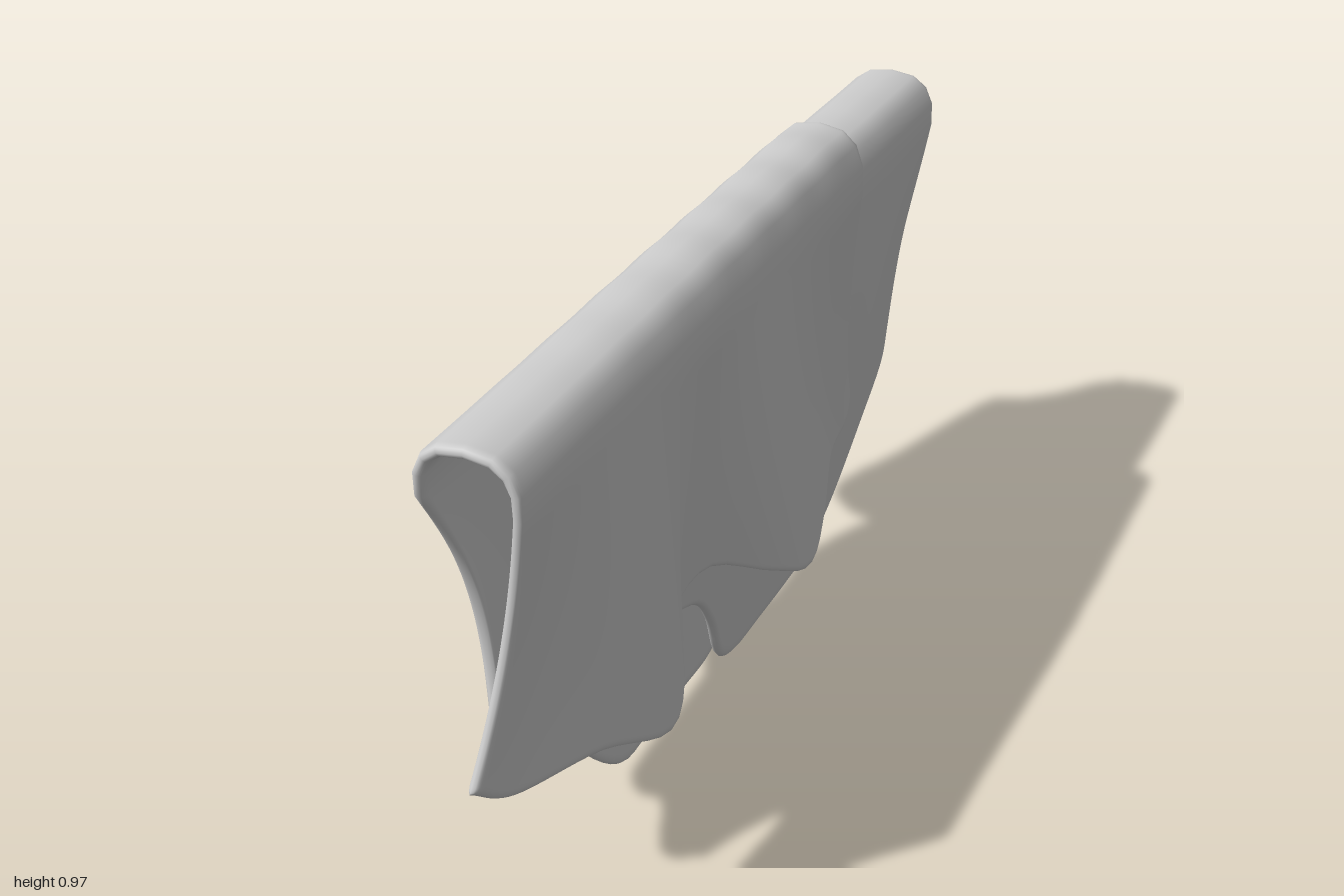
import * as THREE from 'three';
import { mergeVertices } from 'three/addons/utils/BufferGeometryUtils.js';

const lerp = THREE.MathUtils.lerp;
const curve = (pts) => new THREE.CatmullRomCurve3(pts.map((p) => new THREE.Vector3(...p)), false, 'catmullrom', 0.5);

// Hems as x, y, z: the wavy flap that hangs outside, and the long flap tucked inside
const outerHem = curve([
  [0.04, 0.42, 1.0], [0.06, 0.36, 0.91], [0.11, 0.325, 0.72], [0.155, 0.265, 0.56],
  [0.125, 0.305, 0.45], [0.07, 0.36, 0.37], [0.065, 0.355, 0.2], [0.135, 0.28, 0.06],
  [0.155, 0.226, -0.06], [0.125, 0.25, -0.2], [0.075, 0.29, -0.36], [0.055, 0.305, -0.5],
  [0.04, 0.4, -0.55],
]);
const innerHem = curve([
  [-0.02, 0.42, 0.81], [-0.035, 0.33, 0.77], [-0.05, 0.25, 0.6], [-0.03, 0.12, 0.51],
  [-0.015, 0.034, 0.41], [-0.015, 0.025, 0.3], [-0.015, 0.025, 0.15], [-0.015, 0.028, 0.03],
  [-0.02, 0.07, -0.05], [-0.04, 0.2, -0.13], [-0.05, 0.3, -0.22], [-0.055, 0.365, -0.38],
  [-0.05, 0.42, -0.47],
]);

const SHOULDER = 0.85; // height where the flaps meet the rounded fold
const THICKNESS = 0.021;

// Middle surface: u runs along the fold, v from the outer hem over the fold to the inner hem
function clothPoint(u, v, lift) {
  const zTop = lerp(0.89, -0.44, u);
  const overlap = THREE.MathUtils.smoothstep(u, 0, 0.6);
  const xOut = lerp(0.082, 0.096, overlap);
  const xIn = lerp(-0.085, -0.073, overlap);
  if (v < 0.42) {
    const s = 1 - v / 0.42;
    const hem = outerHem.getPoint(u);
    return new THREE.Vector3(
      lerp(xOut, hem.x, s),
      lerp(SHOULDER, hem.y, s),
      lerp(zTop, hem.z, s ** 2.2));
  }
  if (v > 0.58) {
    const s = (v - 0.58) / 0.42;
    const hem = innerHem.getPoint(u);
    return new THREE.Vector3(
      lerp(xIn, hem.x, s ** 1.6),
      lerp(SHOULDER, hem.y, s),
      lerp(zTop, hem.z, s) - 0.06 * Math.sin(Math.PI * s) * (1 - u) ** 6);
  }
  const a = Math.PI * (v - 0.42) / 0.16;
  const c = Math.cos(a);
  const ripple = 0.002 * Math.sin(u * 50) * overlap * Math.sin(a);
  return new THREE.Vector3(
    (xOut + xIn) / 2 + (xOut - xIn) / 2 * Math.sign(c) * Math.abs(c) ** 0.75,
    SHOULDER + (0.085 + lift * overlap) * Math.max(0, Math.sin(a)) ** 0.75 + ripple,
    zTop);
}

// Closed shell around the middle surface, thinning to a rounded rim
function clothGeometry(lift) {
  const M = 84, N = 84;
  const ease = (w) => w - 0.85 * Math.sin(2 * Math.PI * w) / (2 * Math.PI);
  const round = (d) => Math.sqrt(Math.max(0, 1 - (1 - Math.min(1, d)) ** 2));
  const positions = [], indices = [];
  const ring = 2 * (N + 1);
  const e = 0.002;
  for (let i = 0; i <= M; i++) {
    const u = ease(i / M);
    const front = [], back = [];
    for (let j = 0; j <= N; j++) {
      const v = ease(j / N);
      const at = (du, dv) => clothPoint(
        THREE.MathUtils.clamp(u + du, 0, 1), THREE.MathUtils.clamp(v + dv, 0, 1), lift);
      const alongU = at(e, 0).sub(at(-e, 0));
      const alongV = at(0, e).sub(at(0, -e));
      const normal = alongU.cross(alongV).normalize();
      const half = THICKNESS / 2 * round(Math.min(u, 1 - u) / 0.012) * round(Math.min(v, 1 - v) / 0.012);
      const p = at(0, 0);
      front.push(p.clone().addScaledVector(normal, half));
      back.unshift(p.clone().addScaledVector(normal, -half));
    }
    for (const p of [...front, ...back]) positions.push(p.x, p.y, p.z);
  }
  for (let i = 0; i < M; i++) {
    for (let j = 0; j < ring - 1; j++) {
      const a = i * ring + j, b = a + ring;
      indices.push(a, b, b + 1, a, b + 1, a + 1);
    }
  }
  const geometry = new THREE.BufferGeometry();
  geometry.setAttribute('position', new THREE.Float32BufferAttribute(positions, 3));
  geometry.setIndex(indices);
  const merged = mergeVertices(geometry, 1e-5);
  merged.computeVertexNormals();
  return merged;
}

export function createModel() {
  const group = new THREE.Group();
  group.name = 'hangingCloths';
  const material = new THREE.MeshStandardMaterial({ color: 0xcccccc, roughness: 0.9, side: THREE.DoubleSide });

  // Front cloth lies on top along the fold
  const frontCloth = new THREE.Mesh(clothGeometry(0.025), material);
  frontCloth.name = 'frontCloth';

  // Back cloth is the same drape turned half round, slightly lower
  const backCloth = new THREE.Mesh(clothGeometry(0), material);
  backCloth.name = 'backCloth';
  backCloth.rotation.y = Math.PI;
  backCloth.position.set(-0.006, -0.022, 0);

  group.add(frontCloth, backCloth);
  return group;
}
